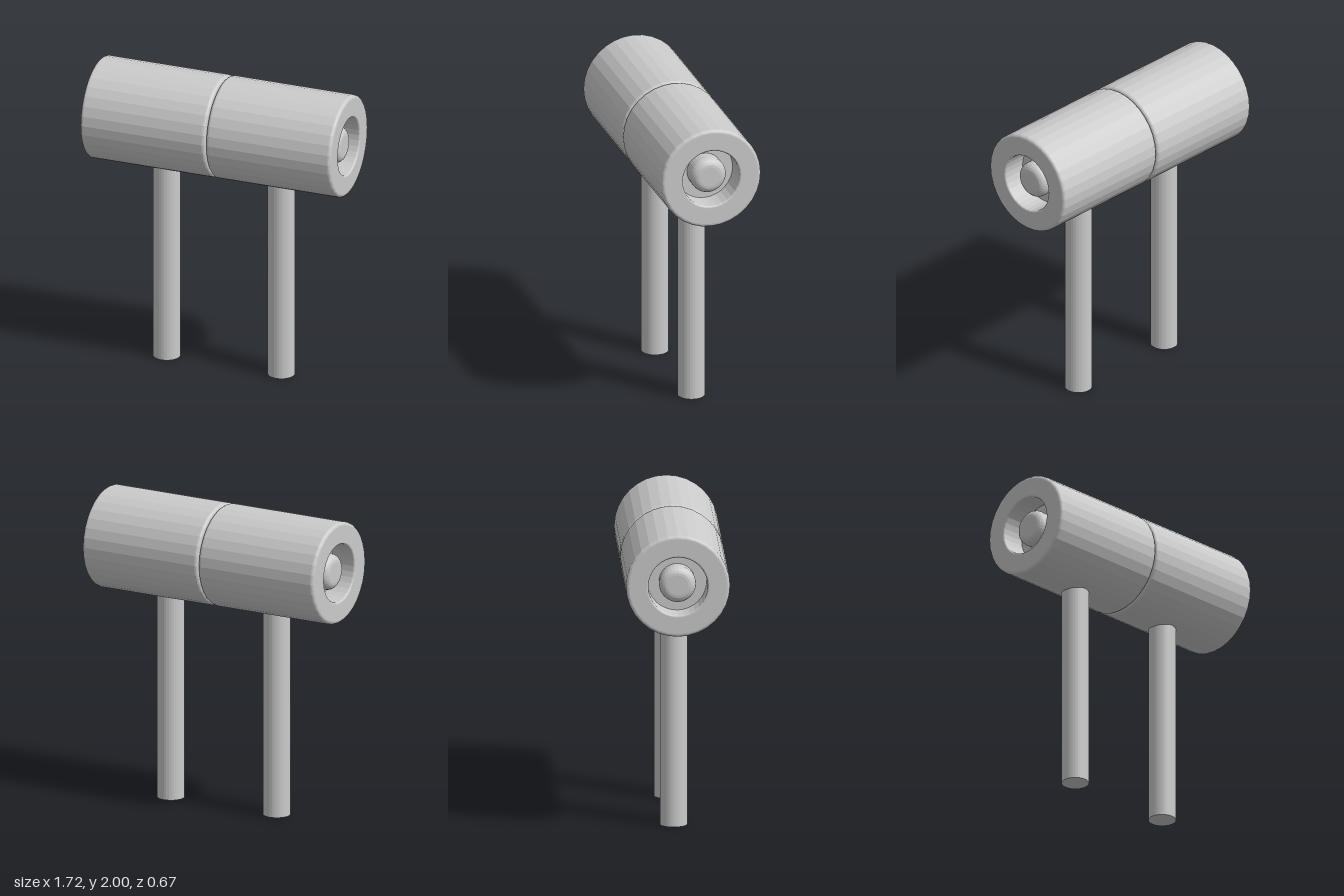
import * as THREE from 'three';

const material = new THREE.MeshStandardMaterial({ color: 0xcccccc, flatShading: true });
const R = 0.333, LENGTH = 0.86, AXIS_Y = 1.667, BEVEL = 0.022;
const HOLE_R = 0.19, HOLE_DEPTH = 0.16;

// Quarter-round profile points about (r, y), from angle a to b
function arc(r, y, radius, a, b, steps = 4) {
  return Array.from({ length: steps + 1 }, (_, i) => {
    const t = a + ((b - a) * i) / steps;
    return new THREE.Vector2(r + radius * Math.cos(t), y + radius * Math.sin(t));
  });
}

function addMesh(parent, name, geometry) {
  const mesh = new THREE.Mesh(geometry, material);
  mesh.name = name;
  parent.add(mesh);
  return mesh;
}

// One half of the drum: shell with recessed outer end and a rounded knob
function createDrum(name) {
  const drum = new THREE.Group();
  drum.name = name;
  const floor = LENGTH - HOLE_DEPTH, q = Math.PI / 2;

  const shell = [
    new THREE.Vector2(0, 0.003),
    ...arc(R - BEVEL, 0.003 + BEVEL, BEVEL, -q, 0),
    ...arc(R - BEVEL, LENGTH - BEVEL, BEVEL, 0, q),
    ...arc(HOLE_R + 0.012, LENGTH - 0.012, 0.012, q, 2 * q),
    new THREE.Vector2(HOLE_R, floor),
    new THREE.Vector2(0, floor),
  ];
  addMesh(drum, 'shell', new THREE.LatheGeometry(shell, 32));

  const knob = [
    new THREE.Vector2(0.115, floor - 0.01),
    ...arc(0.066, LENGTH - 0.082, 0.052, 0, q, 5),
    new THREE.Vector2(0, LENGTH - 0.03),
  ];
  addMesh(drum, 'knob', new THREE.LatheGeometry(knob, 32));
  return drum;
}

export function createModel() {
  const model = new THREE.Group();
  model.name = 'drumOnPosts';
  for (const side of [-1, 1]) {
    const label = side > 0 ? 'left' : 'right';

    // Lathe axis turned outward along x
    const drum = createDrum(label + 'Drum');
    drum.rotation.z = (-side * Math.PI) / 2;
    drum.position.y = AXIS_Y;
    model.add(drum);

    // Post reaching slightly into the underside of the drum
    const post = addMesh(model, label + 'Post', new THREE.CylinderGeometry(0.088, 0.088, 1.37, 32));
    post.position.set(side * 0.394 - 0.003, 0.685, -0.008);
  }
  return model;
}
